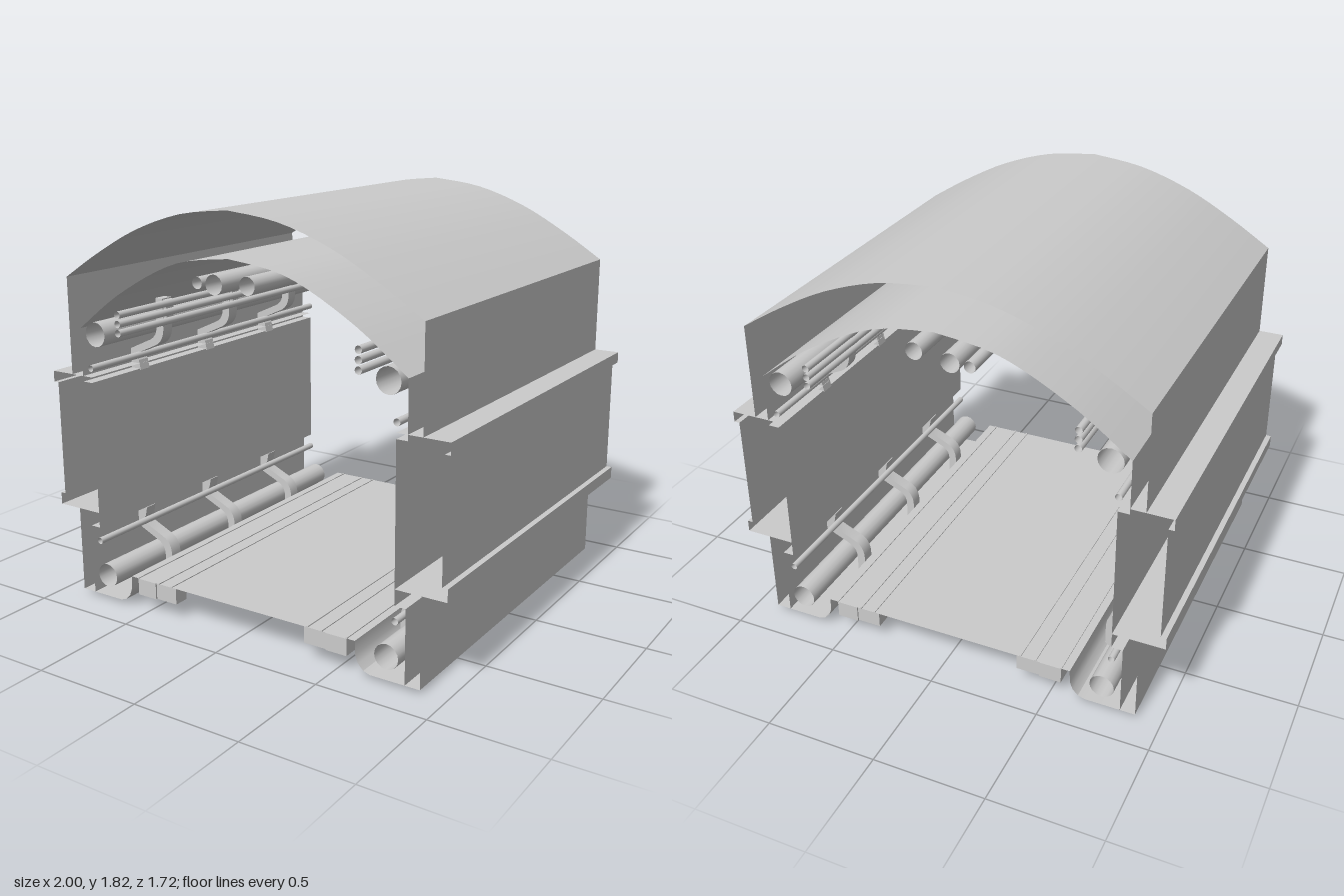
import * as THREE from 'three';
import { toCreasedNormals } from 'three/addons/utils/BufferGeometryUtils.js';

const HALF = 0.852; // half length of the corridor section
const grey = () => new THREE.MeshStandardMaterial({ color: 0xcccccc });
const thin = () => new THREE.MeshStandardMaterial({ color: 0xcccccc, side: THREE.DoubleSide });

function add(parent, name, geometry, material = grey()) {
  const mesh = new THREE.Mesh(geometry, material);
  mesh.name = name;
  parent.add(mesh);
  return mesh;
}

// Thin sheet: an open cross-section carried along z
function sheet(parent, name, points) {
  const geo = new THREE.PlaneGeometry(1, 1, points.length - 1, 1);
  const pos = geo.attributes.position;
  for (let i = 0; i < pos.count; i++) {
    const [x, y] = points[i % points.length];
    pos.setXYZ(i, x, y, i < points.length ? -HALF : HALF);
  }
  return add(parent, name, toCreasedNormals(geo, 0.45), thin());
}

// Rounded half arch, mirrored into a full one
function arch(half) {
  const curve = new THREE.SplineCurve(half.map(p => new THREE.Vector2(...p)));
  const right = curve.getPoints(16).map(p => [p.x, p.y]);
  return [...right.slice(1).reverse().map(([x, y]) => [-x, y]), ...right];
}

// Open tube running along z
function pipe(parent, name, x, y, r, z0 = -HALF, z1 = HALF) {
  const geo = new THREE.CylinderGeometry(r, r, z1 - z0, 16, 1, true).rotateX(Math.PI / 2);
  add(parent, name, geo, thin()).position.set(x, y, (z0 + z1) / 2);
}

function box(parent, name, w, h, d, x, y, z) {
  add(parent, name, new THREE.BoxGeometry(w, h, d)).position.set(x, y, z);
}

// S-shaped clamp; s mirrors in x, upper mirrors about the mid height
function clampGeometry(s, upper) {
  const px = x => s * x, py = y => (upper ? 1.36 - y : y);
  const shape = new THREE.Shape();
  shape.moveTo(px(0.62), py(0));
  shape.lineTo(px(0.62), py(0.13));
  shape.quadraticCurveTo(px(0.62), py(0.195), px(0.67), py(0.218));
  shape.lineTo(px(0.775), py(0.265));
  shape.quadraticCurveTo(px(0.795), py(0.28), px(0.775), py(0.3));
  shape.lineTo(px(0.765), py(0.345));
  shape.lineTo(px(0.822), py(0.345));
  shape.lineTo(px(0.822), py(0.25));
  shape.lineTo(px(0.7), py(0.195));
  shape.quadraticCurveTo(px(0.66), py(0.175), px(0.66), py(0.13));
  shape.lineTo(px(0.66), py(0));
  const geo = new THREE.ExtrudeGeometry(shape, { depth: 0.06, bevelEnabled: false, curveSegments: 8 });
  return toCreasedNormals(geo.translate(0, 0, -0.03), 0.5);
}

export function createModel() {
  const model = new THREE.Group();
  model.name = 'corridorSection';

  // Outer roof with its upper side walls, and the inner ceiling
  const roof = arch([[0, 1.82], [0.24, 1.79], [0.48, 1.71], [0.7, 1.595], [0.885, 1.48]]);
  sheet(model, 'outerRoof', [[-0.885, 1.045], ...roof, [0.885, 1.045]]);
  const ceiling = arch([[0, 1.63], [0.28, 1.585], [0.58, 1.435], [0.82, 1.26]]);
  sheet(model, 'innerCeiling', [[-0.82, 1.02], ...ceiling, [0.82, 1.02]]);

  // Floor deck
  sheet(model, 'floorDeck', [[-0.59, 0.15], [0.59, 0.15]]);

  for (const s of [1, -1]) {
    const side = new THREE.Group();
    side.name = s > 0 ? 'leftSide' : 'rightSide';
    model.add(side);
    const m = pts => pts.map(([x, y]) => [s * x, y]);

    // Outer wall with two projecting rails
    sheet(side, 'outerWall', m([
      [0.77, 1.045], [1, 1.045], [1, 0.995], [0.975, 0.995], [0.975, 0.47],
      [1, 0.47], [1, 0.415], [0.77, 0.415],
    ]));
    sheet(side, 'lowerOuterWall', m([[0.888, 0.415], [0.888, 0.02]]));

    // Inner wall, recessed behind the pipes, above and below
    sheet(side, 'innerWall', m([
      [0.82, 1.02], [0.77, 1.02], [0.77, 0.345], [0.82, 0.345], [0.82, 0.02],
    ]));

    // Trough under the lower pipe
    sheet(side, 'pipeTrough', m([
      [0.59, 0.15], [0.592, 0.09], [0.605, 0.055], [0.63, 0.03], [0.66, 0.02], [0.888, 0.02],
    ]));

    // Main pipes and small conduits
    pipe(side, 'lowerPipe', s * 0.735, 0.12, 0.055);
    pipe(side, 'upperPipe', s * 0.735, 1.24, 0.055);
    pipe(side, 'lowerConduit', s * 0.772, 0.28, 0.015);
    pipe(side, 'upperConduit', s * 0.772, 1.085, 0.015);
    for (const y of [1.26, 1.3, 1.34]) {
      pipe(side, 'wallConduit', s * 0.603, y, 0.016);
    }

    // Clamps at three stations
    for (const z of [0.51, 0.03, -0.465]) {
      add(side, 'lowerClamp', clampGeometry(s, false)).position.z = z;
      add(side, 'upperClamp', clampGeometry(s, true)).position.z = z;
      box(side, 'conduitClip', 0.02, 0.11, 0.05, s * 0.614, 1.3, z);
    }

    // Floor support blocks at both ends and raised floor seams
    for (const z of [-0.81, 0.81]) {
      box(side, 'innerFloorBlock', 0.11, 0.076, 0.07, s * 0.395, 0.11, z);
      box(side, 'outerFloorBlock', 0.1, 0.076, 0.084, s * 0.5, 0.11, z);
    }
    for (const x of [0.36, 0.43, 0.55]) {
      box(side, 'floorSeam', 0.008, 0.006, 2 * HALF, s * x, 0.151, 0);
    }
  }

  // Ceiling pipes
  pipe(model, 'ceilingPipe', -0.075, 1.52, 0.042, -0.868, HALF);
  pipe(model, 'ceilingPipe', 0.09, 1.53, 0.038);
  pipe(model, 'ceilingConduit', -0.16, 1.52, 0.025, -0.868, HALF);
  for (const z of [0.51, 0.03, -0.465]) {
    box(model, 'ceilingHanger', 0.34, 0.02, 0.04, -0.02, 1.575, z);
  }
  return model;
}
